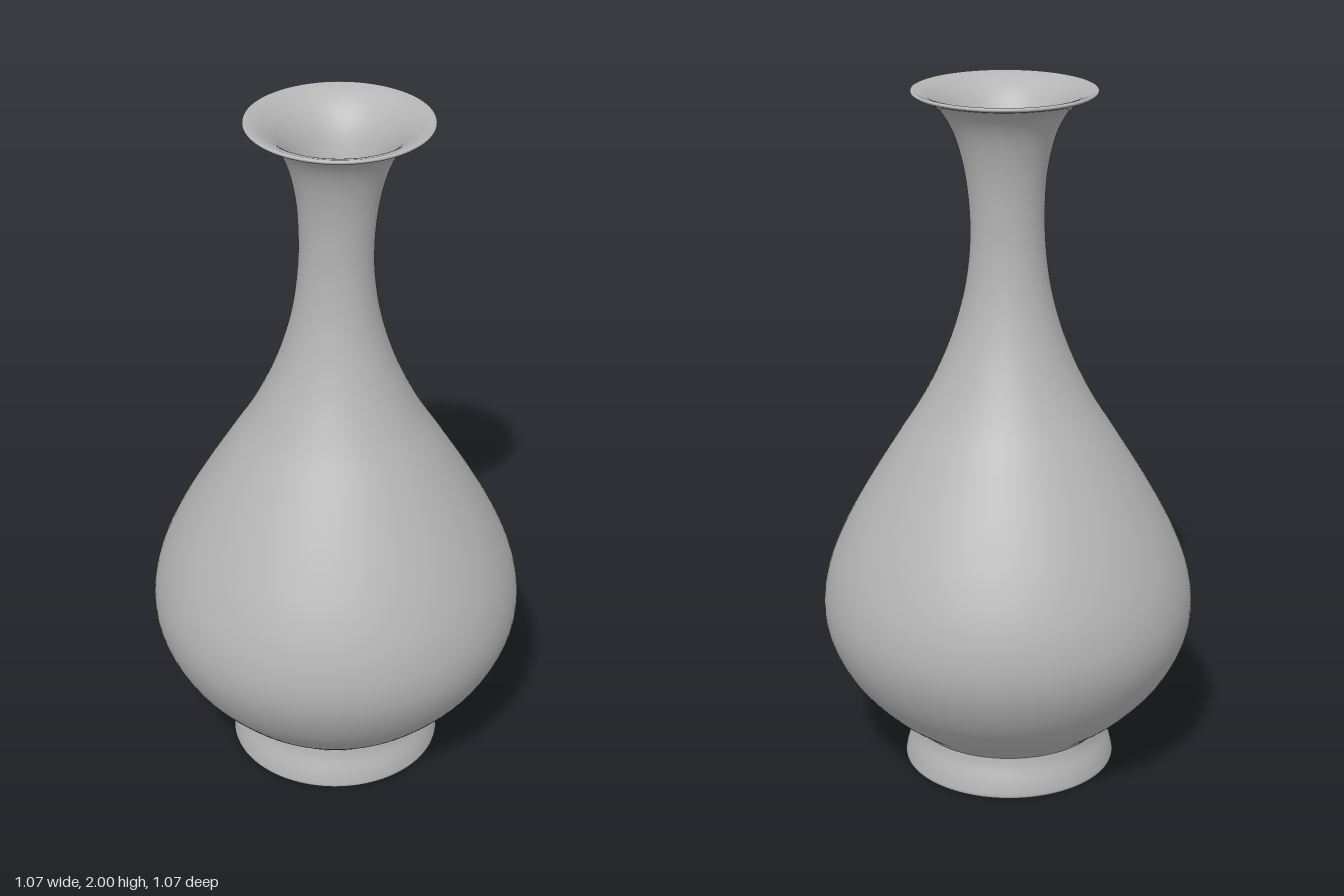
import * as THREE from 'three';

const SEGMENTS = 96;

// Smooth profile through [radius, height] points
function smoothProfile(points, divisions) {
  const curve = new THREE.SplineCurve(points.map(([r, y]) => new THREE.Vector2(r, y)));
  return curve.getPoints(divisions);
}

// The neck drifts slightly off axis towards the mouth, the foot slightly forward
function lean(geometry) {
  const p = geometry.attributes.position;
  for (let i = 0; i < p.count; i++) {
    const up = THREE.MathUtils.smoothstep(p.getY(i), 1.5, 2);
    const down = 1 - THREE.MathUtils.smoothstep(p.getY(i), 0, 0.4);
    p.setX(i, p.getX(i) + 0.007 * up + 0.004 * down);
    p.setZ(i, p.getZ(i) - 0.006 * up + 0.009 * down);
  }
  return geometry;
}

export function createModel() {
  const vase = new THREE.Group();
  vase.name = 'vase';
  const glaze = new THREE.MeshStandardMaterial({ color: 0xb4b4b4 });
  glaze.name = 'grey glaze';

  const turned = (name, profile) => {
    const mesh = new THREE.Mesh(lean(new THREE.LatheGeometry(profile, SEGMENTS)), glaze);
    mesh.name = name;
    vase.add(mesh);
  };

  // Flat underside
  turned('base', [new THREE.Vector2(0, 0), new THREE.Vector2(0.3, 0)]);

  // Flared foot ring
  turned('foot', smoothProfile([
    [0.3, 0], [0.306, 0.006], [0.306, 0.018], [0.298, 0.05], [0.283, 0.09], [0.277, 0.118],
  ], 24));

  // Pear-shaped body running into the slender neck and trumpet mouth
  turned('body', smoothProfile([
    [0.277, 0.118], [0.295, 0.135], [0.375, 0.2], [0.46, 0.295], [0.515, 0.4],
    [0.533, 0.5], [0.517, 0.61], [0.47, 0.73], [0.4, 0.86], [0.315, 1.0],
    [0.235, 1.13], [0.17, 1.27], [0.127, 1.41], [0.107, 1.54], [0.104, 1.66],
    [0.115, 1.78], [0.141, 1.88], [0.178, 1.945], [0.222, 1.978], [0.25, 1.988],
  ], 120));

  // Thin rounded rim
  turned('rim', smoothProfile([
    [0.25, 1.988], [0.255, 1.993], [0.254, 1.998], [0.248, 2.0],
  ], 8));

  // Inner wall of the mouth and throat, closed low in the neck
  turned('throat', smoothProfile([
    [0.248, 2.0], [0.215, 1.988], [0.17, 1.953], [0.13, 1.89], [0.1, 1.78],
    [0.086, 1.66], [0.085, 1.54], [0.082, 1.48], [0.07, 1.45],
  ], 48));
  turned('throatFloor', [new THREE.Vector2(0.07, 1.45), new THREE.Vector2(0, 1.45)]);

  return vase;
}
